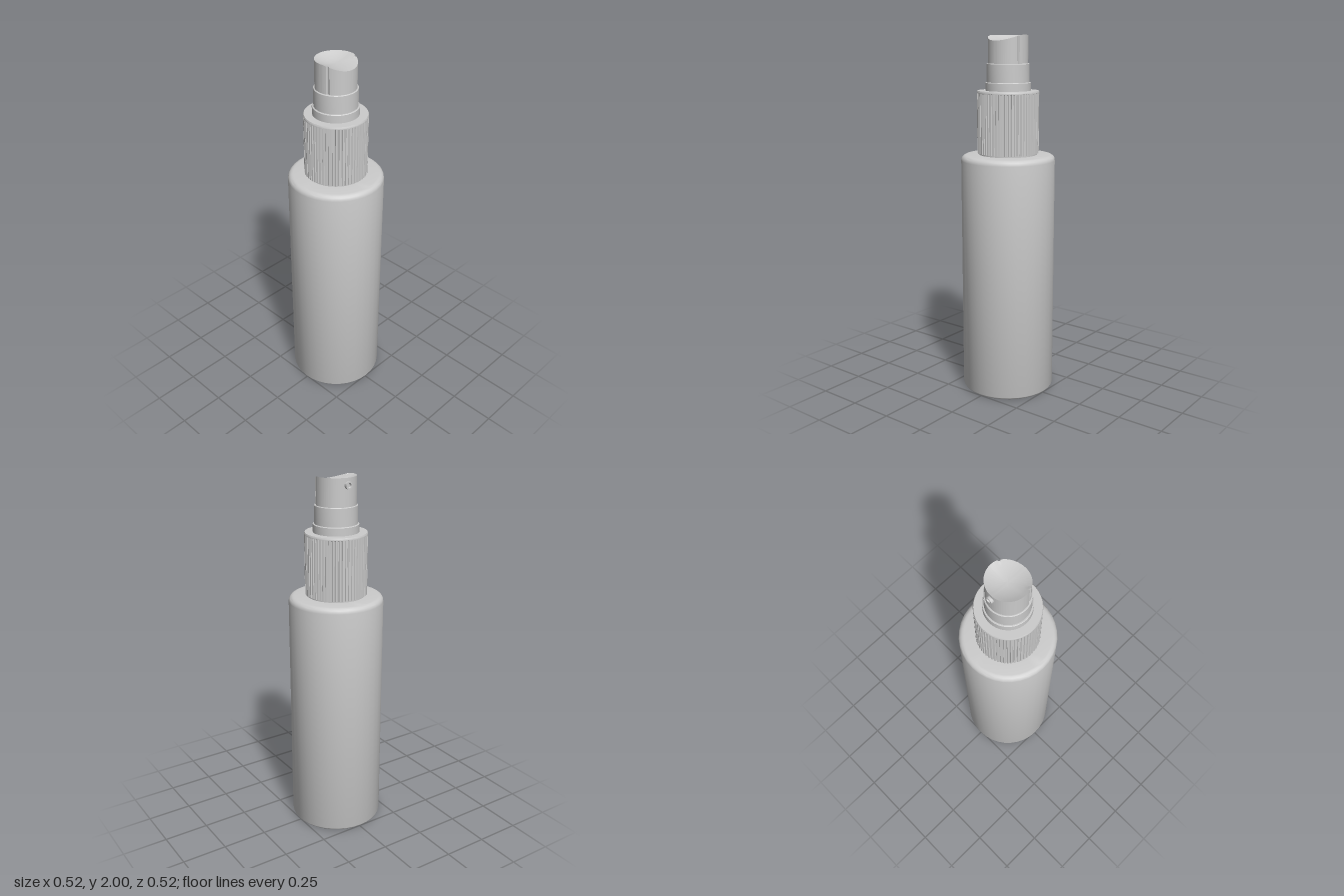
import * as THREE from 'three';
import { toCreasedNormals } from 'three/addons/utils/BufferGeometryUtils.js';

const material = new THREE.MeshStandardMaterial({ color: 0xcccccc });

function add(group, name, geometry, crease = 0.6) {
  const mesh = new THREE.Mesh(toCreasedNormals(geometry, crease), material);
  mesh.name = name;
  group.add(mesh);
  return mesh;
}

const lathe = (points, sides) =>
  new THREE.LatheGeometry(points.map(([r, y]) => new THREE.Vector2(r, y)), sides);

// Quarter-circle profile points around (cx, cy)
function corner(cx, cy, r, from, steps = 5) {
  return Array.from({ length: steps + 1 }, (_, i) => {
    const a = from + (i / steps) * Math.PI / 2;
    return [cx + r * Math.cos(a), cy + r * Math.sin(a)];
  });
}

// Gear-like outline: ridges with narrow valleys between them
function ribbedCollar(ribs, outer, inner, height) {
  const points = [];
  for (let i = 0; i < ribs; i++) {
    [[0, inner], [0.2, inner], [0.35, outer], [0.85, outer]].forEach(([t, r]) => {
      const a = ((i + t) / ribs) * Math.PI * 2;
      points.push(new THREE.Vector2(r * Math.cos(a), r * Math.sin(a)));
    });
  }
  const geometry = new THREE.ExtrudeGeometry(new THREE.Shape(points), { depth: height, bevelEnabled: false });
  return geometry.rotateX(-Math.PI / 2);
}

// Push button built from loops: side wall with two slits, dished top sloping to +x
function buttonGeometry() {
  const sides = 120, radius = 0.109, base = 1.85;
  const rimHeight = x => 2 - 0.03 * Math.pow(Math.max(0, (x - 0.015) / 0.094), 1.4);
  const rings = [['wall', 0], ['wall', 1], ...[0.85, 0.7, 0.5, 0.3, 0.12, 0].map(t => ['top', t])];
  const positions = [], index = [];
  rings.forEach(([kind, t]) => {
    for (let i = 0; i < sides; i++) {
      const a = (i / sides) * Math.PI * 2;
      const slit = [22, 23, 97, 98].includes(i);
      const r = kind === 'wall' ? (slit ? radius - 0.007 : radius) : radius * t;
      const x = r * Math.cos(a), z = r * Math.sin(a);
      let y = base;
      if (kind === 'wall' && t === 1) y = rimHeight(x);
      if (kind === 'top') {
        const edge = rimHeight(radius * Math.cos(a));
        y = 1.972 + (edge - 1.972) * t * t;
      }
      positions.push(x, y, z);
    }
  });
  for (let k = 0; k < rings.length - 1; k++) {
    for (let i = 0; i < sides; i++) {
      const j = (i + 1) % sides;
      const a = k * sides + i, b = k * sides + j, c = a + sides, d = b + sides;
      index.push(a, c, b);
      if (k < rings.length - 2) index.push(b, c, d);
    }
  }
  const geometry = new THREE.BufferGeometry();
  geometry.setAttribute('position', new THREE.Float32BufferAttribute(positions, 3));
  geometry.setIndex(index);
  geometry.computeVertexNormals();
  return geometry;
}

export function createModel() {
  const model = new THREE.Group();
  model.name = 'sprayBottle';

  // Bottle with softly rounded base and shoulder
  add(model, 'bottle', lathe([
    [0, 0], ...corner(0.24, 0.02, 0.02, -Math.PI / 2),
    ...corner(0.23, 1.325, 0.03, 0), [0.15, 1.357], [0, 1.357],
  ], 36));

  // Neck showing in the gap under the collar
  add(model, 'neck', lathe([[0.16, 1.35], [0.16, 1.375]], 48));

  // Ribbed screw collar with a plain lip at the top
  const collar = add(model, 'collar', ribbedCollar(60, 0.17, 0.165, 0.33), 0.3);
  collar.position.y = 1.365;
  add(model, 'collarLip', lathe([
    [0.165, 1.69], [0.17, 1.692], [0.17, 1.7], [0.167, 1.705], [0, 1.705],
  ], 60));

  // Stepped pump housing
  add(model, 'pumpHousing', lathe([
    [0.124, 1.7], [0.124, 1.747], [0.121, 1.75], [0.116, 1.75],
    [0.116, 1.847], [0.113, 1.85], [0, 1.85],
  ], 48));

  add(model, 'pushButton', buttonGeometry(), 0.5);

  // Small hollow spray nozzle on the -x side
  const nozzle = add(model, 'nozzle', lathe([
    [0.02, 0], [0.02, 0.018], [0.013, 0.018], [0.01, 0.008], [0, 0.008],
  ], 20));
  nozzle.rotation.z = Math.PI / 2;
  nozzle.position.set(-0.105, 1.962, 0);

  return model;
}
